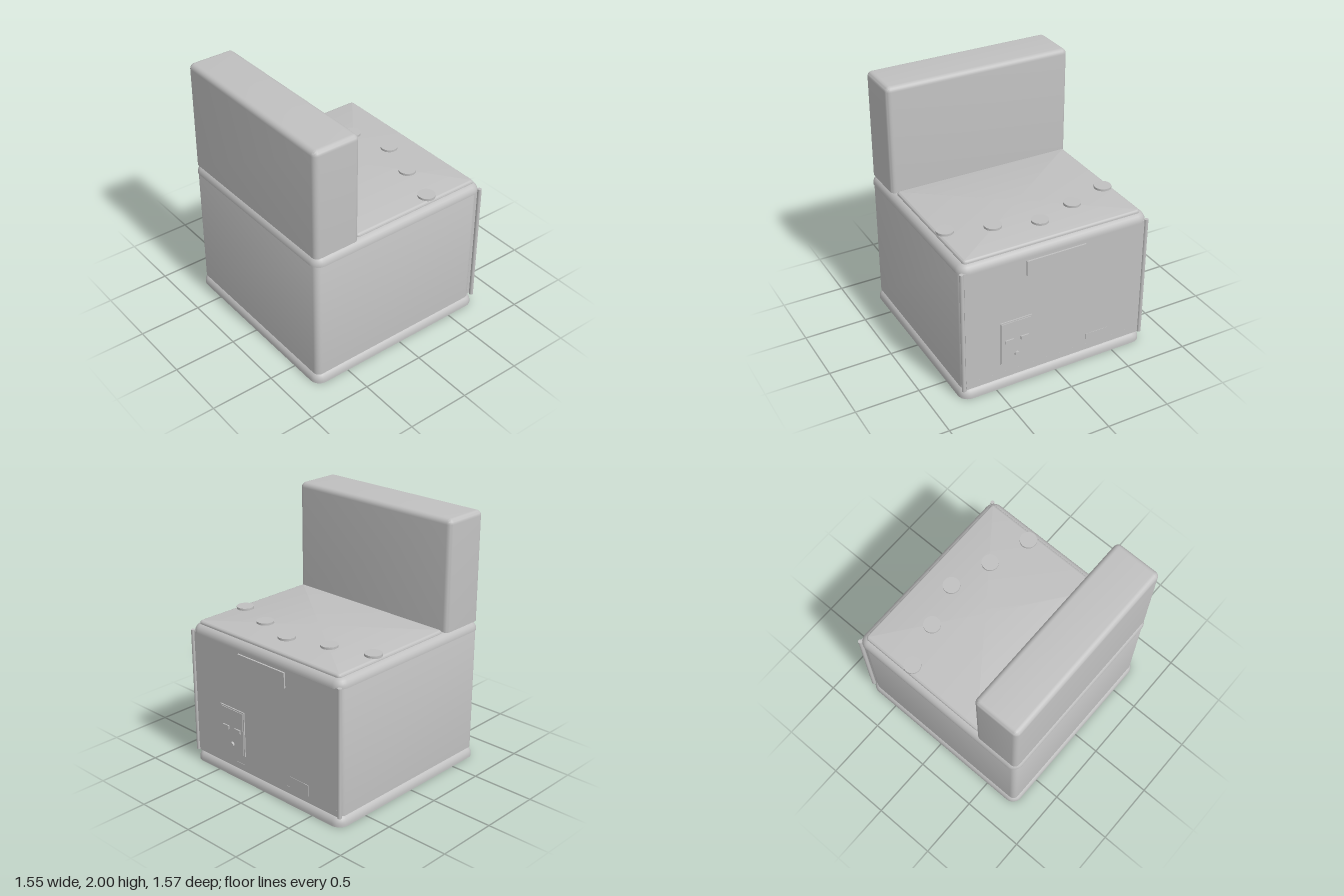
import * as THREE from 'three';
import { toCreasedNormals } from 'three/addons/utils/BufferGeometryUtils.js';

const STEPS = 6;

// Rounded-rectangle outline, counter-clockwise in (x, z) pairs
function outline(hw, hd, r) {
  const pts = [];
  for (let c = 0; c < 4; c++) {
    const sx = c === 0 || c === 3 ? 1 : -1;
    const sz = c < 2 ? 1 : -1;
    for (let i = 0; i <= STEPS; i++) {
      const a = (c + i / STEPS) * Math.PI / 2;
      pts.push([sx * (hw - r) + r * Math.cos(a), sz * (hd - r) + r * Math.sin(a)]);
    }
  }
  return pts;
}

// Block with rounded vertical corners and a rounded top edge, flat underneath
function softBlock(x, y0, y1, zBack, zFront, corner, fillet) {
  const hd = (zFront - zBack) / 2, zMid = (zFront + zBack) / 2;
  const levels = [[y0, 0]];
  for (let i = 0; i <= STEPS; i++) {
    const a = i / STEPS * Math.PI / 2;
    levels.push([y1 - fillet + fillet * Math.sin(a), fillet * (1 - Math.cos(a))]);
  }
  const pos = [], idx = [];
  const n = 4 * (STEPS + 1);
  for (const [y, inset] of levels) {
    for (const [px, pz] of outline(x - inset, hd - inset, Math.max(corner - inset, 0.002))) {
      pos.push(px, y, pz + zMid);
    }
  }
  for (let l = 0; l < levels.length - 1; l++) {
    for (let i = 0; i < n; i++) {
      const a = l * n + i, b = l * n + (i + 1) % n;
      idx.push(a, a + n, b, b, a + n, b + n);
    }
  }
  // Bottom and top caps
  const low = pos.length / 3, high = low + 1, last = (levels.length - 1) * n;
  pos.push(0, y0, zMid, 0, y1, zMid);
  for (let i = 0; i < n; i++) {
    const j = (i + 1) % n;
    idx.push(low, i, j, high, last + j, last + i);
  }
  const g = new THREE.BufferGeometry();
  g.setAttribute('position', new THREE.Float32BufferAttribute(pos, 3));
  g.setIndex(idx);
  return toCreasedNormals(g, 0.6);
}

export function createModel() {
  const model = new THREE.Group();
  model.name = 'cabinetUnit';
  const grey = new THREE.MeshStandardMaterial({ color: 0xc0c0c0 });
  grey.name = 'plain grey';

  const add = (name, geometry, x = 0, y = 0, z = 0) => {
    const mesh = new THREE.Mesh(geometry, grey);
    mesh.name = name;
    mesh.position.set(x, y, z);
    model.add(mesh);
    return mesh;
  };
  // Box given by its limits
  const plate = (name, x0, x1, y0, y1, z0, z1) =>
    add(name, new THREE.BoxGeometry(x1 - x0, y1 - y0, z1 - z0),
      (x0 + x1) / 2, (y0 + y1) / 2, (z0 + z1) / 2);

  // Main stacked blocks
  add('plinth', softBlock(0.777, 0, 0.08, -0.769, 0.784, 0.08, 0.065));
  add('body', softBlock(0.757, 0.075, 1.075, -0.73, 0.766, 0.045, 0.002));
  add('topSlab', softBlock(0.773, 1.07, 1.14, -0.762, 0.778, 0.08, 0.066));
  add('topPanel', softBlock(0.725, 1.135, 1.16, -0.722, 0.385, 0.03, 0.02));
  add('uprightBlock', softBlock(0.755, 1.138, 2, 0.39, 0.766, 0.04, 0.04));

  // Round discs in a V on the top
  const disc = new THREE.CylinderGeometry(0.066, 0.066, 0.02, 40);
  for (const [x, z] of [[-0.66, -0.308], [-0.33, -0.408], [0, -0.507], [0.33, -0.408], [0.66, -0.308]]) {
    add('topDisc', disc, x, 1.167, z);
  }

  // Rear panel, its lower strip and corner posts
  plate('rearPanel', -0.74, 0.74, 0.137, 1.08, -0.756, -0.72);
  plate('rearLowerStrip', -0.74, 0.74, 0.08, 0.135, -0.754, -0.72);
  for (const side of [-1, 1]) {
    add('cornerPost', new THREE.CylinderGeometry(0.016, 0.016, 1.005, 20), side * 0.757, 0.5825, -0.752);
  }

  // Rear fittings
  plate('rearLabelPlate', -0.235, 0.25, 0.92, 1.04, -0.769, -0.75);
  plate('rearTab', -0.455, -0.268, 0.137, 0.225, -0.759, -0.75);
  plate('socketPlate', 0.205, 0.465, 0.21, 0.575, -0.765, -0.75);
  plate('socketFace', 0.215, 0.455, 0.22, 0.565, -0.77, -0.75);
  plate('socketSlot', 0.238, 0.302, 0.393, 0.422, -0.78, -0.76);
  plate('socketSlot', 0.362, 0.428, 0.393, 0.422, -0.78, -0.76);
  const pin = add('socketPin', new THREE.CylinderGeometry(0.019, 0.019, 0.025, 24), 0.332, 0.278, -0.7725);
  pin.rotation.x = Math.PI / 2;

  return model;
}
